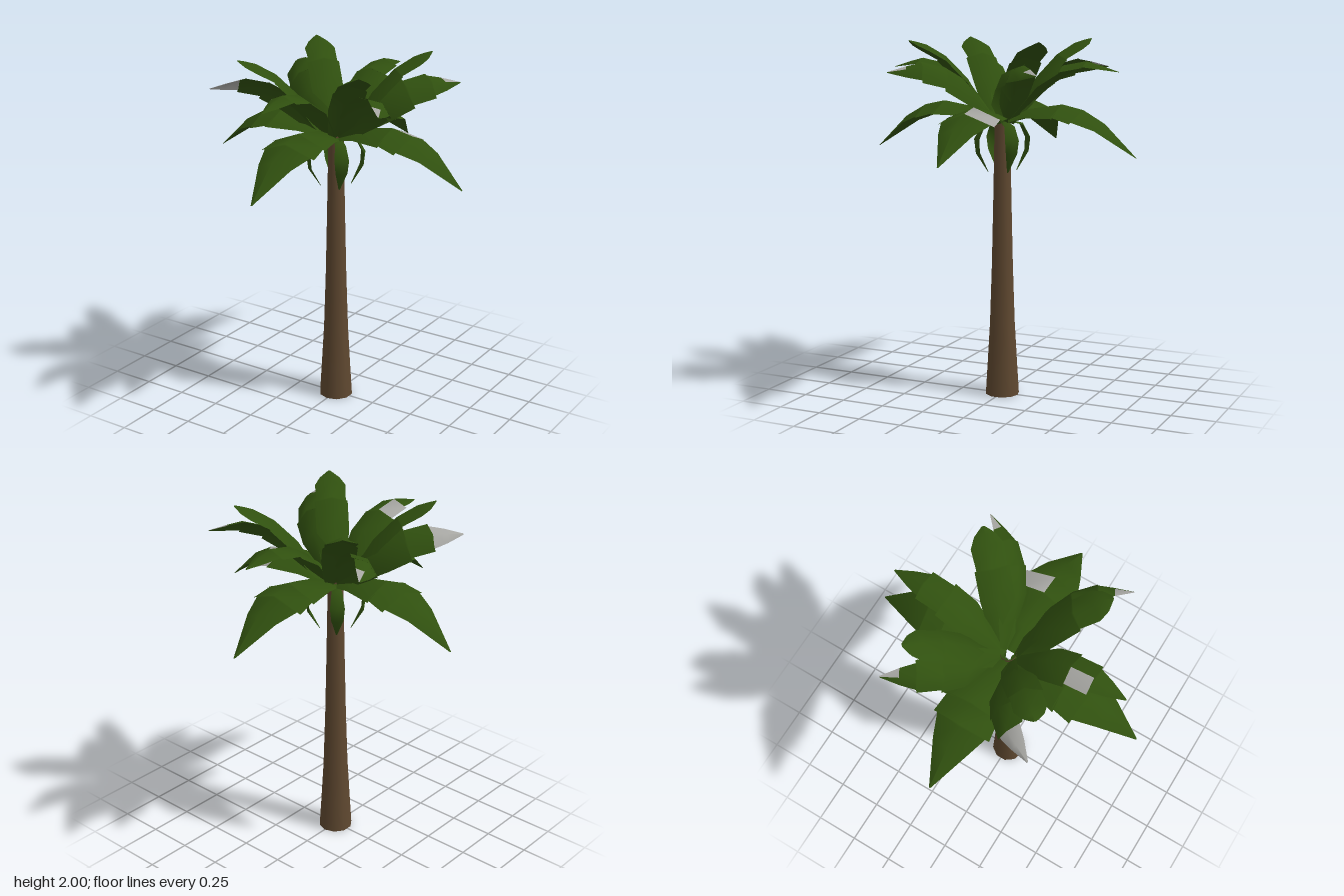
import * as THREE from 'three';

const bark = new THREE.MeshStandardMaterial({ color: 0x5f4830 });
bark.name = 'bark brown';
const green = new THREE.MeshStandardMaterial({ color: 0x30500f, side: THREE.DoubleSide });
green.name = 'leaf green';
const grey = new THREE.MeshStandardMaterial({ color: 0xa6a6a2, side: THREE.DoubleSide });
grey.name = 'pale grey';

const CROWN = 1.55; // height where the fronds meet

// Frond stations: [distance from the trunk axis, height, half width].
// Close pairs of stations make the notches in the edge.
const ARCHING = [[0.02, 1.56, 0.05], [0.16, 1.625, 0.11], [0.35, 1.655, 0.165], [0.36, 1.655, 0.15],
  [0.475, 1.63, 0.165], [0.485, 1.625, 0.145], [0.6, 1.56, 0.1], [0.78, 1.385, 0.004]];
const RISING = [[0.03, 1.55, 0.03], [0.12, 1.66, 0.07], [0.22, 1.78, 0.1], [0.35, 1.86, 0.1],
  [0.36, 1.865, 0.085], [0.49, 1.89, 0.085], [0.5, 1.888, 0.07], [0.58, 1.867, 0.045], [0.675, 1.837, 0.004]];
const UPRIGHT = [[0.03, 1.55, 0.05], [0.12, 1.66, 0.075], [0.2, 1.79, 0.09], [0.32, 1.91, 0.09],
  [0.33, 1.917, 0.08], [0.43, 1.975, 0.085], [0.49, 1.992, 0.055], [0.53, 2.0, 0.008]];
const HANGING = [[0.03, 1.56, 0.02], [0.12, 1.54, 0.03], [0.165, 1.46, 0.04], [0.155, 1.38, 0.033],
  [0.085, 1.275, 0.004]];

// A roof-shaped frond along +x; pale lists "segment,side" faces that are grey
function frondGeometry(stations, droop, pale) {
  const pos = [], index = [];
  const geo = new THREE.BufferGeometry();
  stations.forEach(([r, y, w], i) => {
    const a = stations[Math.max(i - 1, 0)], b = stations[Math.min(i + 1, stations.length - 1)];
    const len = Math.hypot(b[0] - a[0], b[1] - a[1]);
    const nx = -(b[1] - a[1]) / len, ny = (b[0] - a[0]) / len, d = droop * w;
    const h = y - CROWN;
    pos.push(r - nx * d, h - ny * d, -w, r, h, 0, r - nx * d, h - ny * d, w);
  });
  for (let i = 0; i < stations.length - 1; i++) {
    for (const side of [-1, 1]) {
      const a = i * 3 + (side < 0 ? 0 : 1), b = a + 1;
      geo.addGroup(index.length, 6, pale.includes(`${i},${side}`) ? 1 : 0);
      index.push(a, b, b + 3, a, b + 3, a + 3);
    }
  }
  geo.setAttribute('position', new THREE.Float32BufferAttribute(pos, 3));
  geo.setIndex(index);
  geo.computeVertexNormals();
  return geo;
}

// Turn a frond to its heading and bank it about the line from base to tip
function frond(name, stations, degrees, { droop = 0.4, bank = 0, pale = [] } = {}) {
  const mesh = new THREE.Mesh(frondGeometry(stations, droop, pale), [green, grey]);
  const tip = stations[stations.length - 1];
  const chord = new THREE.Vector3(tip[0], tip[1] - CROWN, 0).normalize();
  const yaw = new THREE.Quaternion().setFromAxisAngle(new THREE.Vector3(0, 1, 0), THREE.MathUtils.degToRad(degrees));
  const roll = new THREE.Quaternion().setFromAxisAngle(chord, THREE.MathUtils.degToRad(bank));
  mesh.quaternion.copy(yaw.multiply(roll));
  mesh.position.y = CROWN;
  mesh.name = name;
  return mesh;
}

export function createModel() {
  const palm = new THREE.Group();
  palm.name = 'palmTree';

  // Trunk, flared at the foot
  const profile = [[0.096, 0], [0.085, 0.18], [0.071, 0.42], [0.06, 0.75], [0.052, 1.1], [0.046, 1.4], [0.044, 1.58]];
  const trunk = new THREE.Mesh(
    new THREE.LatheGeometry(profile.map(([r, y]) => new THREE.Vector2(r, y)), 10), bark);
  trunk.name = 'trunk';
  const base = new THREE.Mesh(new THREE.CircleGeometry(0.096, 10), bark);
  base.rotation.set(Math.PI / 2, 0, Math.PI / 2);
  base.name = 'trunkBase';
  palm.add(trunk, base);

  const crown = new THREE.Group();
  crown.name = 'crown';
  palm.add(crown);

  // Four wide drooping fronds
  for (const a of [0, 90, 180, -90]) {
    crown.add(frond('archingFrond', ARCHING, a, { pale: a === 0 ? ['3,-1'] : [] }));
  }

  // Rising fronds to front and back
  crown.add(frond('risingFrond', RISING, 90));
  crown.add(frond('risingFrond', RISING, -90, { pale: ['4,1'] }));

  // Banked rising fronds on the diagonals, with pale tips
  const tips = { 39: ['7,-1'], '-39': ['7,1'], 141: ['7,1'], '-141': ['6,1', '6,-1', '7,1', '7,-1'] };
  for (const a of [39, -39, 141, -141]) {
    const bank = 42 * (Math.abs(a) < 90 ? 1 : -1) * Math.sign(a);
    crown.add(frond('bankedFrond', RISING, a, { bank, pale: tips[a] }));
  }

  // Upright top fronds and small hanging ones
  for (const a of [45, 135, -135, -45]) {
    crown.add(frond('uprightFrond', UPRIGHT, a));
    crown.add(frond('hangingFrond', HANGING, a));
  }
  return palm;
}
